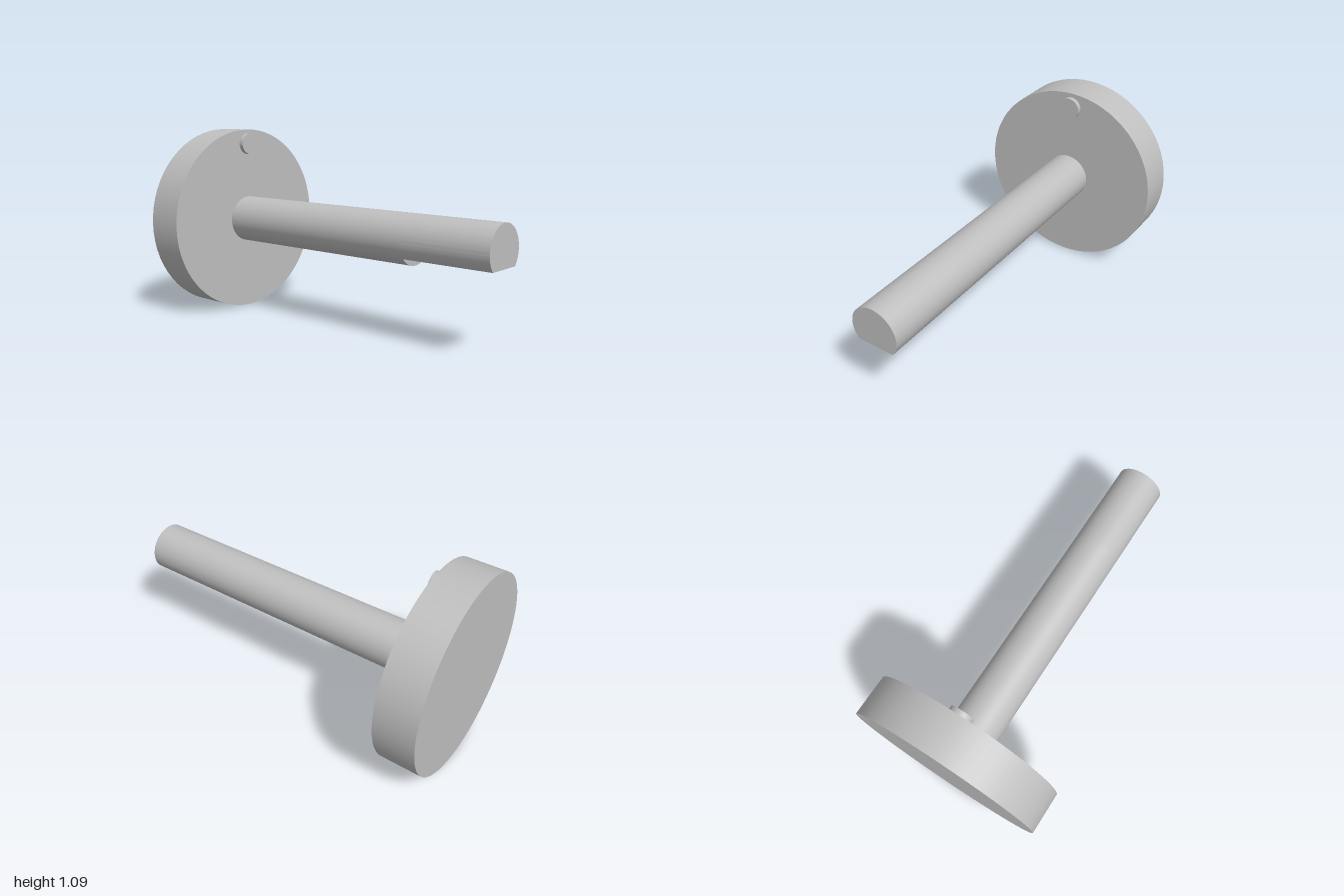
import * as THREE from 'three';
import { toCreasedNormals } from 'three/addons/utils/BufferGeometryUtils.js';

const AXIS_Y = 0.543;   // height of the shaft axis
const SHAFT_R = 0.135;
const FLAT_Y = -0.087;  // flat of the D section, relative to the axis

export function createModel() {
  const group = new THREE.Group();
  const metal = new THREE.MeshStandardMaterial({ color: 0xbfbfbf });
  metal.name = 'grey metal';

  function add(name, geometry, x, y) {
    const mesh = new THREE.Mesh(geometry, metal);
    mesh.name = name;
    mesh.position.set(x, y, 0);
    group.add(mesh);
  }

  // Round part lying along x from x0 to x1
  function rod(name, radius, x0, x1, y, sides) {
    const geometry = new THREE.CylinderGeometry(radius, radius, x1 - x0, sides);
    geometry.rotateZ(-Math.PI / 2);
    add(name, geometry, (x0 + x1) / 2, y);
  }

  rod('disc', 0.543, -1, -0.775, AXIS_Y, 64);
  rod('roundShaft', SHAFT_R, -0.775, 0.49, AXIS_Y, 64);
  rod('pin', 0.0625, -0.775, -0.747, 1.0, 40);

  // Shaft end with a flat cut along its underside
  const start = Math.asin(FLAT_Y / SHAFT_R);
  const section = new THREE.Shape();
  section.absarc(0, 0, SHAFT_R, start, Math.PI - start, false);
  section.closePath();
  const end = new THREE.ExtrudeGeometry(section, { depth: 0.51, bevelEnabled: false, curveSegments: 48 });
  end.rotateY(Math.PI / 2);
  add('flattenedShaftEnd', toCreasedNormals(end, 0.5), 0.49, AXIS_Y);

  return group;
}
